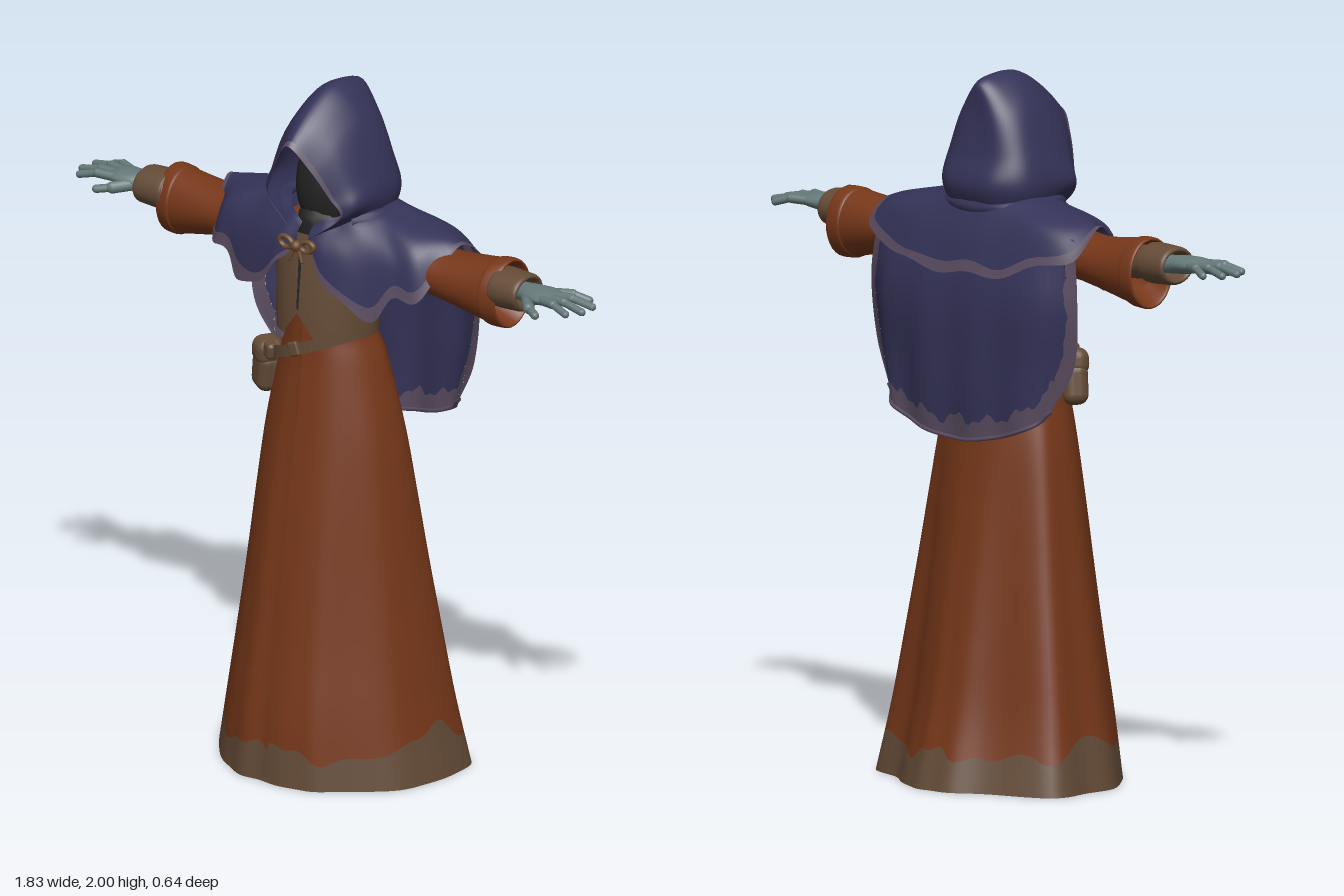
import * as THREE from 'three';
import { mergeVertices } from 'three/addons/utils/BufferGeometryUtils.js';
import { RoundedBoxGeometry } from 'three/addons/geometries/RoundedBoxGeometry.js';

const V = (x, y, z) => new THREE.Vector3(x, y, z);
const lerp = THREE.MathUtils.lerp;

function material(name, color) {
  const m = new THREE.MeshStandardMaterial({ color, side: THREE.DoubleSide });
  m.name = name;
  return m;
}

// Completes a row that ends on the centre line with its mirror image
function mirrorRow(half) {
  const pts = half.map(p => V(...p));
  const other = pts.slice(0, -1).reverse().map(p => V(-p.x, p.y, p.z));
  return pts.concat(other);
}

// Smooth surface through rows of control points: u along rows, v across them
function loft(rows) {
  const curves = rows.map(r => new THREE.CatmullRomCurve3(r, false, 'catmullrom', 0.5));
  let lastU = -1, cross;
  return (u, v) => {
    if (u !== lastU) {
      cross = new THREE.CatmullRomCurve3(curves.map(c => c.getPoint(u)), false, 'catmullrom', 0.5);
      lastU = u;
    }
    return cross.getPoint(v);
  };
}

// Piece of a surface between two v limits, which may vary with u
function patch(fn, nu, nv, lo = () => 0, hi = () => 1, u0 = 0, u1 = 1) {
  const pos = [], idx = [];
  for (let i = 0; i <= nu; i++) {
    const u = u0 + (u1 - u0) * i / nu, a = lo(u), b = hi(u);
    for (let j = 0; j <= nv; j++) {
      const p = fn(u, a + (b - a) * j / nv);
      pos.push(p.x, p.y, p.z);
      if (i < nu && j < nv) {
        const k = i * (nv + 1) + j, n = k + nv + 1;
        idx.push(k, n, k + 1, n, n + 1, k + 1);
      }
    }
  }
  let g = new THREE.BufferGeometry();
  g.setAttribute('position', new THREE.Float32BufferAttribute(pos, 3));
  g.setIndex(idx);
  g = mergeVertices(g, 1e-4);
  g.computeVertexNormals();
  return g;
}

export function createModel() {
  const rust = material('rustCloth', 0x763719);
  const indigo = material('indigoCloth', 0x353358);
  const lilac = material('fadedTrim', 0x594c60);
  const brown = material('brownLeather', 0x644b37);
  const skin = material('greySkin', 0x657978);
  const dark = material('hoodShadow', 0x242425);
  const bronze = material('bronzeClasp', 0x6b4a2e);

  const model = new THREE.Group();
  function add(name, geometry, mat, parent = model) {
    const m = new THREE.Mesh(geometry, mat);
    m.name = name;
    parent.add(m);
    return m;
  }
  function limb(name, a, b, r, mat, parent) {
    const m = add(name, new THREE.CapsuleGeometry(r, a.distanceTo(b), 4, 10), mat, parent);
    m.position.copy(a).lerp(b, 0.5);
    m.quaternion.setFromUnitVectors(V(0, 1, 0), b.clone().sub(a).normalize());
    return m;
  }
  const wave = u => Math.sin(u * 41) * 0.5 + Math.sin(u * 97 + 1) * 0.3 + Math.sin(u * 23 + 2) * 0.2;

  // Long robe: the hem outline blends into an ellipse at the waist [y, half width, front, back]
  const outline = [[0, 0.31], [0.1, 0.305], [0.2, 0.25], [0.335, 0.11], [0.36, -0.03],
    [0.345, -0.165], [0.2, -0.228], [0.085, -0.298], [0, -0.315]];
  const robeBase = loft([
    [0, 0.362, 0.315, 0.315], [0.2, 0.328, 0.297, 0.262], [0.4, 0.297, 0.268, 0.228],
    [0.6, 0.267, 0.242, 0.197], [0.8, 0.24, 0.215, 0.168], [1, 0.21, 0.185, 0.14],
    [1.2, 0.162, 0.158, 0.105], [1.3, 0.128, 0.152, 0.075], [1.45, 0.125, 0.14, 0.07], [1.58, 0.13, 0.11, 0.07],
  ].map(([y, rx, zf, zb]) => mirrorRow(outline.map(([x, z], i) => {
    const t = Math.min(1, y / 1.2) ** 2, a = i * Math.PI / 8;
    const sx = lerp(x / 0.36, i === 8 ? 0 : Math.sin(a), t);
    const sz = lerp(z > 0 ? z / 0.31 : z / 0.315, Math.cos(a), t);
    return [sx * rx, y, sz * (sz > 0 ? zf : zb)];
  }))));
  const robe = (u, v) => {
    const p = robeBase(u, v), k = 1 + 0.01 * Math.sin(u * Math.PI * 26) * Math.max(0, 1 - v * 1.5);
    return p.set(p.x * k, p.y, p.z * k);
  };
  const inside = k => (u, v) => robe(u, v).multiply(V(k, 1, k));
  const hemTop = u => 0.055 + 0.016 * wave(u)
    + 0.04 * (Math.exp(-(((u - 0.25) / 0.03) ** 2)) + Math.exp(-(((u - 0.75) / 0.03) ** 2)));
  add('robe', patch(robe, 120, 40, hemTop), rust);
  add('robeHem', patch(robe, 120, 4, () => 0, hemTop), brown);
  add('robeLining', patch(inside(0.975), 120, 4, () => 0.012, () => 0.2), rust);
  add('liningPatch', patch(inside(0.962), 10, 4, () => 0.02, () => 0.11, 0.8, 0.87), indigo);

  // Vest with a notch at the lower front
  const vest = (u, v) => {
    const a = u * Math.PI * 2, c = Math.cos(a);
    return V(Math.sin(a) * (0.15 + 0.008 * v), 1.285 + 0.3 * v,
      0.04 + c * (c > 0 ? 0.138 - 0.03 * v * v : 0.128));
  };
  const notch = u => 0.24 * Math.max(0, 1 - Math.min(u, 1 - u) / 0.06);
  add('vest', patch(vest, 100, 10, notch), brown);
  limb('vestSeam', V(0, 1.37, 0.174), V(0, 1.53, 0.163), 0.004, dark);

  // Slanted belt across the front, with pouches on the right hip
  const belt = (u, v) => {
    const a = u * Math.PI * 2, x = -0.012 + 0.16 * Math.sin(a);
    return V(x, 1.232 + 0.37 * x + 0.036 * v, 0.03 + 0.147 * Math.cos(a));
  };
  add('belt', patch(belt, 40, 1, undefined, undefined, -0.3, 0.22), brown);
  const buckle = add('beltBuckle', new RoundedBoxGeometry(0.035, 0.042, 0.016, 2, 0.006), brown);
  buckle.position.set(-0.01, 1.248, 0.178);
  buckle.rotation.z = 0.35;
  [[-0.18, 1.125, 0.09, 0.088, 0.12, 0.075], [-0.173, 1.185, 0.095, 0.084, 0.08, 0.085],
    [-0.13, 1.205, 0.135, 0.045, 0.05, 0.035]].forEach(([x, y, z, w, h, d], i) => {
    const p = add('pouch' + (i + 1), new RoundedBoxGeometry(w, h, d, 4, Math.min(w, h, d) * 0.4), brown);
    p.position.set(x, y, z);
    p.rotation.set(0, -0.5, -0.15);
  });

  // Cape hanging down the back, with a ragged faded border that widens at the corners
  const capeBase = loft([
    [[0.33, 1.09, -0.135], [0.27, 1.04, -0.17], [0.15, 1, -0.185], [0, 0.98, -0.19]],
    [[0.4, 1.22, -0.115], [0.3, 1.2, -0.165], [0.15, 1.18, -0.195], [0, 1.17, -0.2]],
    [[0.415, 1.4, -0.12], [0.3, 1.4, -0.175], [0.15, 1.4, -0.195], [0, 1.4, -0.195]],
    [[0.39, 1.58, -0.11], [0.27, 1.59, -0.13], [0.13, 1.6, -0.14], [0, 1.6, -0.145]],
  ].map(mirrorRow));
  const cape = (u, v) => {
    const p = capeBase(u, v);
    p.z += 0.006 * Math.sin(u * 30) * (1 - v);
    return p;
  };
  const sideWidth = v => 0.05 + 0.012 * wave(v * 0.7) + 0.035 * Math.exp(-(((v - 0.3) / 0.12) ** 2));
  const capeMiddle = (u, v) => cape(lerp(sideWidth(v), 1 - sideWidth(v), u), v);
  const capeEdge = u => 0.1 + 0.05 * wave(u) + 0.5 * Math.max(0, Math.abs(2 * u - 1) - 0.65);
  add('cape', patch(capeMiddle, 60, 24, capeEdge), indigo);
  add('capeHem', patch(capeMiddle, 60, 6, () => 0, capeEdge), lilac);
  add('capeLeftTrim', patch((u, v) => cape(u * sideWidth(v), v), 4, 30), lilac);
  add('capeRightTrim', patch((u, v) => cape(1 - (1 - u) * sideWidth(v), v), 4, 30), lilac);
  const rim = new THREE.CatmullRomCurve3(Array.from({ length: 41 }, (_, i) => cape(i / 40, 0)));
  add('capeEdgeRoll', new THREE.TubeGeometry(rim, 60, 0.006, 6), lilac);

  // Shoulder mantle, open at the front
  const mantleBase = loft([
    [[0.02, 1.56, 0.155], [0.075, 1.49, 0.178], [0.135, 1.43, 0.173], [0.24, 1.383, 0.145], [0.3, 1.45, 0.115],
      [0.38, 1.465, 0.09], [0.425, 1.605, -0.03], [0.41, 1.53, -0.135], [0.28, 1.49, -0.18], [0.14, 1.455, -0.203], [0, 1.455, -0.205]],
    [[0.02, 1.585, 0.15], [0.07, 1.56, 0.165], [0.12, 1.55, 0.155], [0.2, 1.54, 0.13], [0.28, 1.56, 0.1],
      [0.34, 1.59, 0.07], [0.36, 1.622, -0.03], [0.34, 1.605, -0.11], [0.25, 1.59, -0.148], [0.13, 1.56, -0.17], [0, 1.56, -0.175]],
    [[0.02, 1.6, 0.14], [0.06, 1.61, 0.135], [0.1, 1.615, 0.12], [0.15, 1.625, 0.1], [0.19, 1.635, 0.06],
      [0.21, 1.645, 0.03], [0.22, 1.65, -0.02], [0.21, 1.65, -0.07], [0.16, 1.64, -0.11], [0.09, 1.63, -0.135], [0, 1.63, -0.14]],
    [[0.02, 1.61, 0.13], [0.05, 1.63, 0.12], [0.08, 1.64, 0.1], [0.1, 1.65, 0.08], [0.12, 1.66, 0.05],
      [0.13, 1.66, 0.02], [0.13, 1.67, -0.02], [0.12, 1.67, -0.06], [0.09, 1.67, -0.09], [0.05, 1.66, -0.11], [0, 1.66, -0.12]],
  ].map(mirrorRow));
  const mantle = (u, v) => {
    const p = mantleBase(u, v);
    p.y += 0.008 * Math.sin(u * 75) * (1 - v) ** 3;
    return p;
  };
  const mantleEdge = u => 0.085 + 0.025 * wave(u);
  add('mantle', patch(mantle, 140, 18, mantleEdge), indigo);
  add('mantleTrim', patch(mantle, 140, 4, () => 0, mantleEdge), lilac);

  // Rolled fold where the hood gathers behind the neck
  const fold = new THREE.CatmullRomCurve3(mirrorRow([[0.12, 1.635, 0.09], [0.165, 1.64, 0.03], [0.165, 1.64, -0.04],
    [0.105, 1.635, -0.105], [0, 1.63, -0.13]]));
  add('hoodFold', new THREE.TubeGeometry(fold, 48, 0.022, 10), indigo);

  // Hood, from the closed back to the pointed opening
  const hood = loft([
    [[0, 1.6, -0.12], [0, 1.69, -0.157], [0, 1.78, -0.13], [0, 1.87, -0.112], [0, 1.95, -0.112]],
    [[0.08, 1.6, -0.11], [0.095, 1.69, -0.145], [0.09, 1.78, -0.12], [0.06, 1.89, -0.108], [0, 1.975, -0.105]],
    [[0.13, 1.6, -0.06], [0.16, 1.69, -0.08], [0.14, 1.79, -0.07], [0.09, 1.91, -0.06], [0, 1.993, -0.065]],
    [[0.13, 1.6, 0.04], [0.17, 1.69, 0.02], [0.152, 1.78, 0.02], [0.093, 1.92, 0.02], [0, 1.997, 0.035]],
    [[0.07, 1.6, 0.13], [0.16, 1.68, 0.11], [0.142, 1.75, 0.11], [0.086, 1.87, 0.12], [0, 1.945, 0.13]],
    [[0.03, 1.58, 0.155], [0.128, 1.66, 0.145], [0.105, 1.72, 0.165], [0.06, 1.8, 0.195], [0, 1.865, 0.22]],
  ].map(mirrorRow));
  add('hood', patch(hood, 64, 32, () => 0, () => 0.97), indigo);
  add('hoodTrim', patch(hood, 64, 2, () => 0.97), lilac);
  const face = add('hoodShadow', new THREE.SphereGeometry(1, 32, 20), dark);
  face.scale.set(0.105, 0.16, 0.11);
  face.position.set(0, 1.705, 0.015);
  limb('neckShadow', V(0, 1.5, 0.06), V(0, 1.6, 0.06), 0.075, dark);

  // Bow-shaped clasp
  for (const s of [-1, 1]) {
    const loop = add('claspLoop', new THREE.TorusGeometry(0.022, 0.009, 8, 18), bronze);
    loop.scale.y = 0.7;
    loop.rotation.z = s * 0.25;
    loop.position.set(s * 0.038, 1.562, 0.178);
    limb('claspCord', V(s * 0.008, 1.55, 0.18), V(s * 0.022, 1.515, 0.183), 0.005, bronze);
  }
  add('claspKnot', new THREE.SphereGeometry(0.016, 12, 8), bronze).position.set(0, 1.558, 0.181);

  // Arms: rings along x [x, centre y, centre z, half height, half depth]
  const rings = list => loft(list.map(([x, cy, cz, ry, rz]) => Array.from({ length: 17 }, (_, i) => {
    const a = i * Math.PI / 8;
    return V(x, cy + ry * Math.cos(a), cz + rz * Math.sin(a));
  })));
  for (const s of [1, -1]) {
    const arm = new THREE.Group();
    arm.name = s > 0 ? 'leftArm' : 'rightArm';
    arm.scale.x = s;
    model.add(arm);
    add('sleeve', patch(rings([[0.1, 1.5, 0, 0.09, 0.09], [0.3, 1.52, -0.01, 0.072, 0.085],
      [0.4, 1.512, -0.015, 0.071, 0.086], [0.5, 1.506, -0.018, 0.085, 0.086], [0.57, 1.503, -0.02, 0.097, 0.086]]),
      32, 20), rust, arm);
    add('sleeveCuff', patch(rings([[0.56, 1.503, -0.02, 0.094, 0.084], [0.568, 1.503, -0.02, 0.1, 0.09],
      [0.6, 1.503, -0.024, 0.102, 0.086], [0.612, 1.502, -0.025, 0.099, 0.082], [0.605, 1.503, -0.024, 0.09, 0.074],
      [0.54, 1.51, -0.012, 0.066, 0.064]]), 32, 20), rust, arm);
    add('wristCuff', patch(rings([[0.5, 1.52, -0.005, 0.045, 0.05], [0.585, 1.53, -0.002, 0.05, 0.06],
      [0.6, 1.53, 0, 0.058, 0.066], [0.66, 1.53, 0, 0.056, 0.066], [0.69, 1.53, 0, 0.052, 0.064],
      [0.685, 1.53, 0, 0.038, 0.05], [0.6, 1.53, 0, 0.03, 0.035]]), 28, 24), brown, arm);
    add('hand', patch(rings([[0.58, 1.53, 0, 0.028, 0.032], [0.67, 1.533, 0.002, 0.026, 0.032],
      [0.72, 1.537, 0.008, 0.026, 0.045], [0.77, 1.54, 0.008, 0.021, 0.052], [0.805, 1.54, 0.006, 0.009, 0.042]]),
      24, 16), skin, arm);
    [[-0.03, 0.86, -0.064], [-0.008, 0.9, -0.028], [0.018, 0.905, 0.024], [0.043, 0.88, 0.066]].forEach(([z0, x1, z1], i) => {
      const a = V(0.77, 1.541, z0), b = V(x1, 1.53, z1), m = a.clone().lerp(b, 0.5);
      m.y += 0.008;
      limb('fingerBase' + (i + 1), a, m, 0.0135, skin, arm);
      limb('fingerTip' + (i + 1), m, b, 0.011, skin, arm);
    });
    limb('thumbBase', V(0.71, 1.53, 0.03), V(0.755, 1.522, 0.075), 0.017, skin, arm);
    limb('thumbTip', V(0.755, 1.522, 0.075), V(0.795, 1.515, 0.096), 0.012, skin, arm);
  }
  return model;
}
